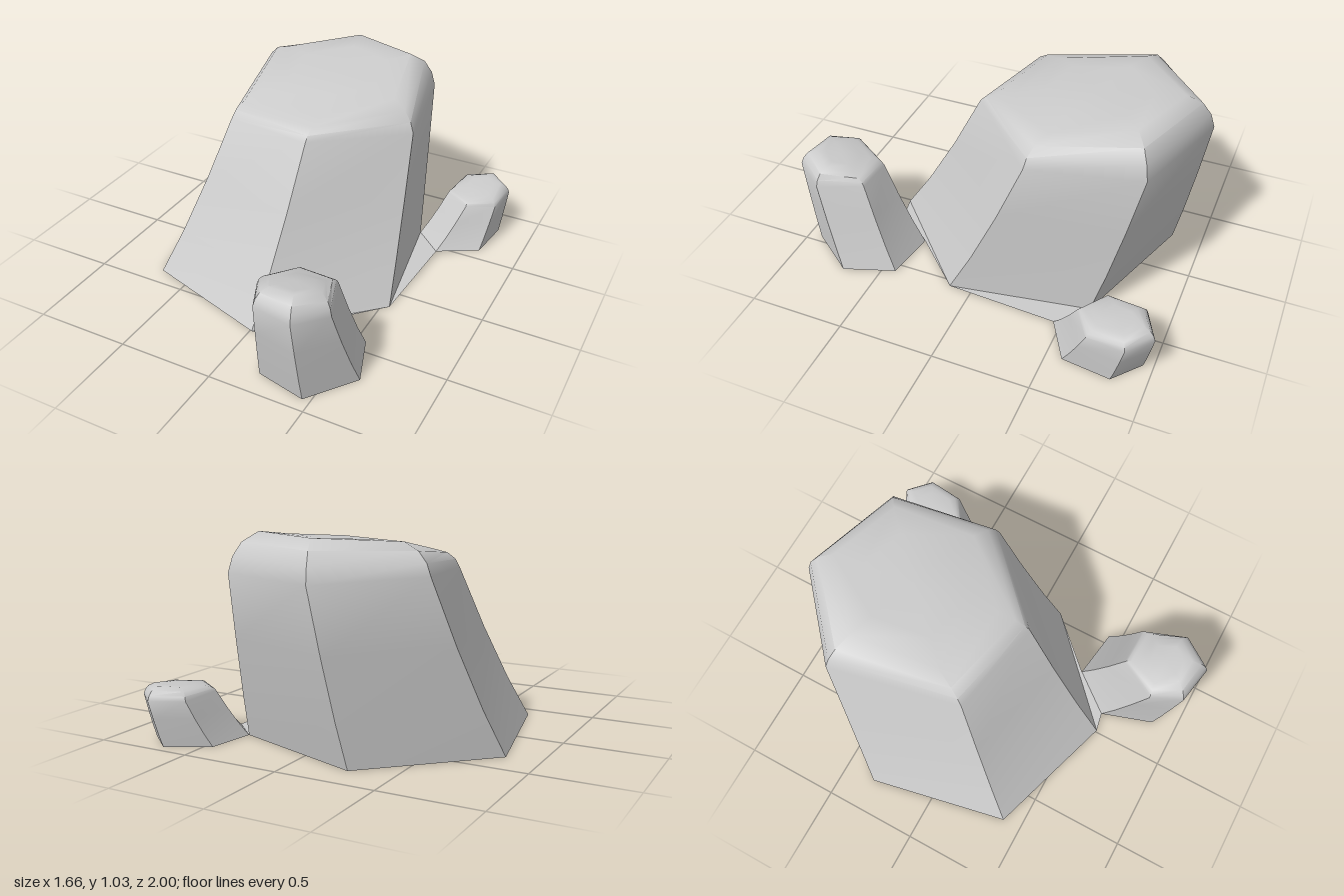
import * as THREE from 'three';
import { toCreasedNormals } from 'three/addons/utils/BufferGeometryUtils.js';

// Stones are open underneath, so both faces show
const material = new THREE.MeshStandardMaterial({ color: 0xcccccc, side: THREE.DoubleSide });

// Blend two rings of [x, y, z]; height may follow its own ratio
const blend = (a, b, t, ty = t) => a.map((p, i) => [
  p[0] + (b[i][0] - p[0]) * t,
  p[1] + (b[i][1] - p[1]) * ty,
  p[2] + (b[i][2] - p[2]) * t,
]);

const centre = (ring) => [0, 1, 2].map((k) => ring.reduce((s, p) => s + p[k], 0) / ring.length);

// Six-sided leaning stone shell: bowed walls, rounded shoulder, domed cap
function stone(name, foot, shoulder, top) {
  const base = foot.map(([x, z]) => [x, 0, z]);
  const crown = centre(top);
  crown[1] *= 1.025;
  const rings = [
    base,
    blend(base, shoulder, 0.31, 0.27),
    blend(base, shoulder, 0.66, 0.62),
    shoulder,
    blend(shoulder, top, 0.15, 0.4),
    blend(shoulder, top, 0.45, 0.75),
    top,
    blend(top, top.map(() => crown), 0.35, 0.5),
  ];
  const pos = [];
  const tri = (...pts) => pts.forEach((p) => pos.push(...p));
  const n = base.length;
  const last = rings[rings.length - 1];
  for (let i = 0; i < n; i++) {
    const j = (i + 1) % n;
    for (let r = 0; r < rings.length - 1; r++) {
      const a = rings[r], b = rings[r + 1];
      tri(a[i], a[j], b[j]);
      tri(a[i], b[j], b[i]);
    }
    tri(last[i], last[j], crown);
  }
  const geo = new THREE.BufferGeometry();
  geo.setAttribute('position', new THREE.Float32BufferAttribute(pos, 3));
  const mesh = new THREE.Mesh(toCreasedNormals(geo, 0.76), material);
  mesh.name = name;
  return mesh;
}

// Flat ground piece joining two stones
function apron(name, points) {
  const shape = new THREE.Shape(points.map(([x, z]) => new THREE.Vector2(x, -z)));
  const mesh = new THREE.Mesh(new THREE.ShapeGeometry(shape).rotateX(-Math.PI / 2), material);
  mesh.name = name;
  return mesh;
}

export function createModel() {
  const group = new THREE.Group();
  group.name = 'rockCluster';

  group.add(stone('largeRock',
    [[-0.83, -0.33], [-0.68, 0.4], [0.01, 0.62], [0.54, 0.12], [0.42, -0.6], [-0.28, -0.84]],
    [[-0.58, 0.86, -0.63], [-0.43, 0.82, 0.03], [0.06, 0.85, 0.14],
      [0.47, 0.82, -0.25], [0.365, 0.84, -0.81], [-0.17, 0.84, -0.99]],
    [[-0.42, 1.0, -0.57], [-0.35, 0.925, -0.13], [0.05, 0.915, -0.03],
      [0.33, 0.955, -0.32], [0.25, 1.03, -0.72], [-0.11, 1.025, -0.85]]));

  group.add(stone('frontRock',
    [[0.11, 0.6], [0.2, 0.87], [0.46, 0.93], [0.64, 0.69], [0.55, 0.43], [0.28, 0.39]],
    [[0.16, 0.47, 0.8], [0.23, 0.47, 0.96], [0.44, 0.47, 1.0],
      [0.56, 0.45, 0.84], [0.48, 0.46, 0.61], [0.28, 0.46, 0.6]],
    [[0.22, 0.53, 0.79], [0.28, 0.56, 0.9], [0.41, 0.565, 0.91],
      [0.5, 0.54, 0.81], [0.45, 0.505, 0.68], [0.3, 0.505, 0.67]]));

  group.add(stone('smallRock',
    [[0.42, -0.6], [0.57, -0.46], [0.78, -0.58], [0.81, -0.83], [0.67, -0.95], [0.46, -0.84]],
    [[0.53, 0.24, -0.71], [0.67, 0.24, -0.61], [0.81, 0.23, -0.7],
      [0.83, 0.23, -0.89], [0.71, 0.23, -1.0], [0.55, 0.23, -0.92]],
    [[0.57, 0.268, -0.75], [0.67, 0.268, -0.68], [0.76, 0.273, -0.74],
      [0.78, 0.285, -0.87], [0.7, 0.293, -0.94], [0.6, 0.285, -0.88]]));

  group.add(apron('sideApron', [[0.54, 0.12], [0.57, -0.46], [0.42, -0.6]]));
  group.add(apron('frontApron', [[0.01, 0.62], [0.11, 0.6], [0.28, 0.39], [0.54, 0.12]]));
  return group;
}
